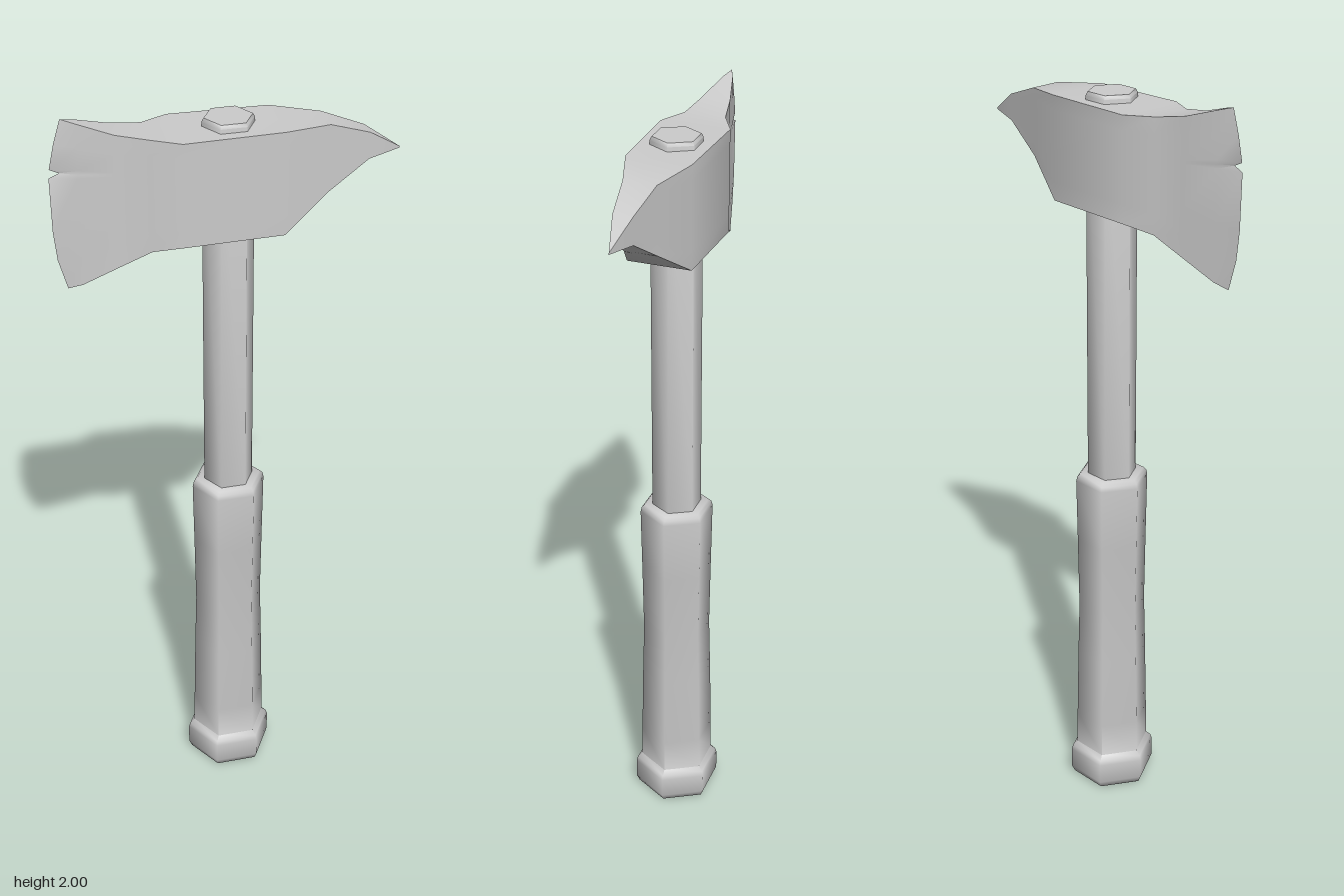
import * as THREE from 'three';
import { toCreasedNormals } from 'three/addons/utils/BufferGeometryUtils.js';

const grey = new THREE.MeshStandardMaterial({ color: 0xcccccc });

function part(name, geometry, crease) {
  const mesh = new THREE.Mesh(toCreasedNormals(geometry, crease), grey);
  mesh.name = name;
  return mesh;
}

// Six-sided turned part with corners at +x and -x; profile is [radius, y], bottom to top
function hexTurned(name, profile) {
  const points = profile.map(([r, y]) => new THREE.Vector2(r, y));
  return part(name, new THREE.LatheGeometry(points, 6, Math.PI / 2), 1.1);
}

// Axe head lofted along x: [x, bottom, top, half thickness]
const sections = [
  [-0.40, 1.56, 2.0, 0],
  [-0.365, 1.573, 1.99, 0.014],
  [-0.28, 1.62, 1.963, 0.037],
  [-0.2, 1.66, 1.949, 0.053],
  [-0.13, 1.68, 1.947, 0.09],
  [0.12, 1.68, 1.947, 0.083],
  [0.24, 1.762, 1.936, 0.042],
  [0.345, 1.829, 1.898, 0.025],
  [0.43, 1.838, 1.842, 0],
];

// Cutting edge, bottom to top, with a small nick: [height fraction, x]
const edge = [
  [0, -0.40], [0.18, -0.422], [0.35, -0.43], [0.67, -0.433],
  [0.695, -0.408], [0.72, -0.431], [0.86, -0.418], [1, -0.40],
];

function headGeometry() {
  const positions = [];
  const corner = (i, j, side) => {
    const [x, bottom, top, half] = sections[i];
    const [t, edgeX] = edge[j];
    return [i === 0 ? edgeX : x, bottom + (top - bottom) * t, half * side];
  };
  const quad = (a, b, c, d) => positions.push(...a, ...b, ...c, ...a, ...c, ...d);
  const last = edge.length - 1;
  for (let i = 0; i < sections.length - 1; i++) {
    // Front and back cheeks
    for (let j = 0; j < last; j++) {
      quad(corner(i, j, 1), corner(i + 1, j, 1), corner(i + 1, j + 1, 1), corner(i, j + 1, 1));
      quad(corner(i + 1, j, -1), corner(i, j, -1), corner(i, j + 1, -1), corner(i + 1, j + 1, -1));
    }
    // Upper and lower faces
    quad(corner(i, last, 1), corner(i + 1, last, 1), corner(i + 1, last, -1), corner(i, last, -1));
    quad(corner(i, 0, -1), corner(i + 1, 0, -1), corner(i + 1, 0, 1), corner(i, 0, 1));
  }
  const geometry = new THREE.BufferGeometry();
  geometry.setAttribute('position', new THREE.Float32BufferAttribute(positions, 3));
  return geometry;
}

export function createModel() {
  const axe = new THREE.Group();
  axe.name = 'axe';

  // Shaft, passing through the head and showing on top
  axe.add(hexTurned('shaft', [[0, 0.9], [0.065, 0.9], [0.065, 1.958], [0.06, 1.967], [0, 1.967]]));

  // Grip with a slight waist and a flared pommel
  axe.add(hexTurned('grip', [
    [0, 0], [0.1, 0], [0.109, 0.006], [0.117, 0.024], [0.117, 0.08], [0.113, 0.093],
    [0.1, 0.105], [0.099, 0.2], [0.095, 0.4], [0.091, 0.55], [0.094, 0.75],
    [0.097, 0.925], [0.094, 0.938], [0.086, 0.946], [0, 0.946],
  ]));

  // Head with blade on -x and pick on +x
  axe.add(part('head', headGeometry(), 0.7));

  return axe;
}
